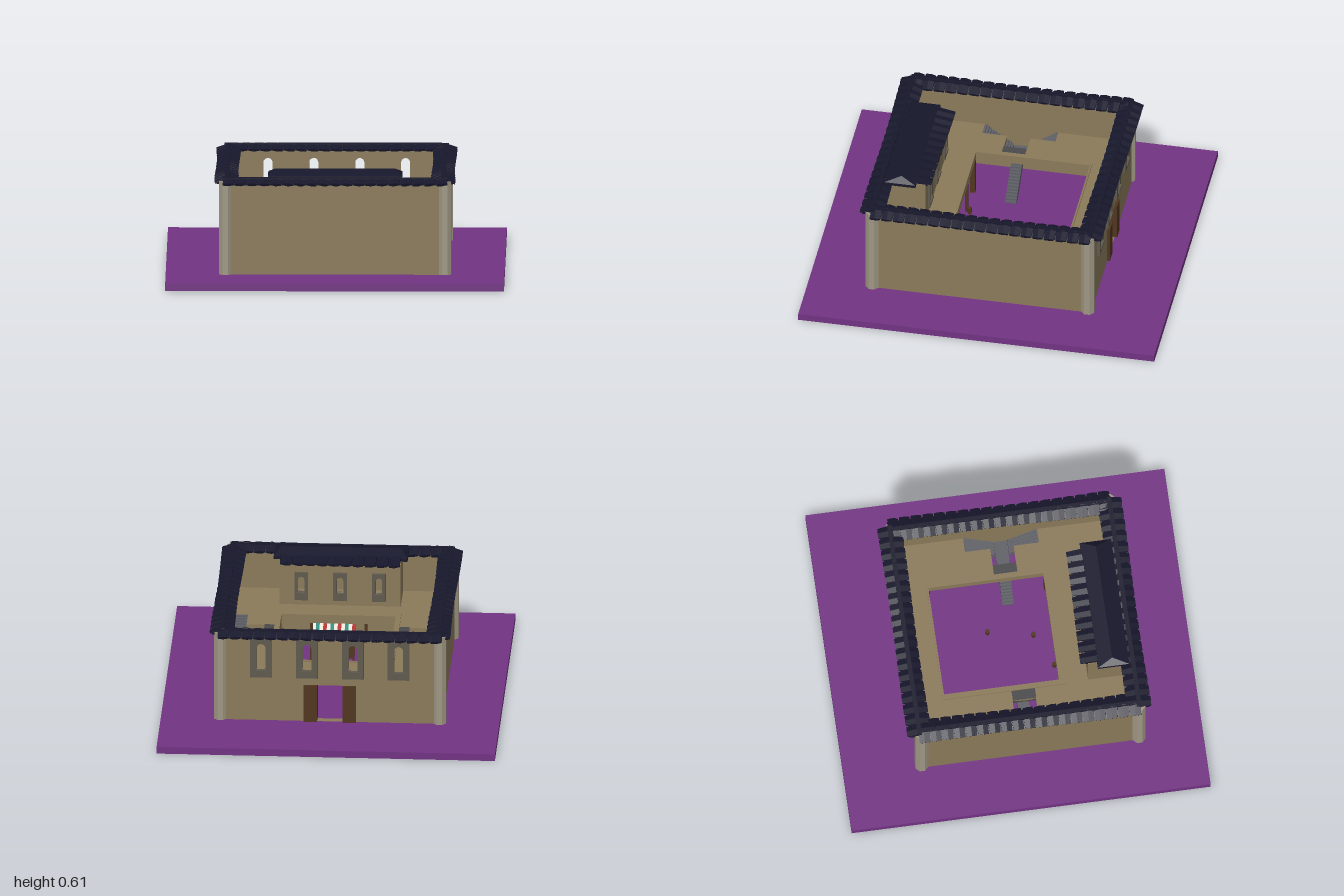
import * as THREE from 'three';
import { ConvexGeometry } from 'three/addons/geometries/ConvexGeometry.js';

const mats = {};
const mat = (c) => (mats[c] ??= new THREE.MeshStandardMaterial({ color: c, flatShading: true, side: THREE.DoubleSide }));
const GROUND = 0x723383, WALL = 0x8b7a5a, POST = 0x9f9784, TILE = 0x17172c;
const STONE = 0x5f6066, FRAME = 0x5f5a4e, WOOD = 0x50351f;
const FLOOR = 0.04, GALLERY = 0.32, WALLTOP = 0.555;

function add(parent, name, geo, color) {
  const m = new THREE.Mesh(geo, mat(color));
  m.name = name;
  parent.add(m);
  return m;
}
function box(parent, name, color, x0, x1, y0, y1, z0, z1) {
  const m = add(parent, name, new THREE.BoxGeometry(x1 - x0, y1 - y0, z1 - z0), color);
  m.position.set((x0 + x1) / 2, (y0 + y1) / 2, (z0 + z1) / 2);
  return m;
}
function group(parent, name) {
  const g = new THREE.Group();
  g.name = name;
  parent.add(g);
  return g;
}
function rect(P, x0, x1, y0, y1) {
  const p = new P();
  p.moveTo(x0, y0); p.lineTo(x1, y0); p.lineTo(x1, y1); p.lineTo(x0, y1); p.closePath();
  return p;
}
function arch(x, w, y0, y1) {
  const p = new THREE.Path(), r = w / 2;
  p.moveTo(x - r, y0); p.lineTo(x + r, y0); p.lineTo(x + r, y1 - r);
  p.absarc(x, y1 - r, r, 0, Math.PI, false);
  p.closePath();
  return p;
}
const extrude = (shape, depth) => new THREE.ExtrudeGeometry(shape, { depth, bevelEnabled: false, curveSegments: 5 });

// One overlapping roof tile: a flattened six-sided barrel sloping down along +z
const tileGeo = new THREE.CylinderGeometry(0.038, 0.033, 0.07, 6);
tileGeo.rotateX(-Math.PI / 2).scale(1, 0.28, 1).translate(0, 0, 0.035);

function tileRow(parent, length, slope, drop) {
  const n = Math.round(length / 0.066);
  for (let i = 0; i < n; i++) {
    const t = add(parent, 'roofTile', tileGeo, TILE);
    const wobble = Math.sin(i * 12.9 + length * 7);
    t.position.set(-length / 2 + (i + 0.5) * length / n, -0.002 + wobble * 0.002, 0);
    t.scale.z = slope / 0.07 * (1 + wobble * 0.06);
    t.rotation.set(drop, 0, wobble * 0.12);
  }
}

// Wall coping: ridge along local x, tiles falling to both sides
function coping(parent, name, length, x, z, turn) {
  const g = group(parent, name);
  const s = new THREE.Shape();
  s.moveTo(-0.055, -0.026); s.lineTo(0.055, -0.026); s.lineTo(0, 0.002); s.closePath();
  const core = extrude(s, length);
  core.translate(0, 0, -length / 2).rotateY(Math.PI / 2);
  add(g, 'copingCore', core, TILE);
  box(g, 'ridgeCap', TILE, -length / 2, length / 2, -0.006, 0.009, -0.012, 0.012);
  for (const side of [0, Math.PI]) {
    const r = group(g, 'tileRow');
    r.rotation.y = side;
    tileRow(r, length, 0.066, 0.3);
  }
  g.position.set(x, 0.57, z);
  g.rotation.y = turn;
}

function framedWindow(parent, x, z, w, holeW, y0, y1) {
  const s = rect(THREE.Shape, x - w / 2, x + w / 2, y0, y1);
  s.holes.push(arch(x, holeW, y0 + 0.045, y1 - 0.025));
  add(parent, 'windowFrame', extrude(s, 0.016), FRAME).position.z = z;
  box(parent, 'windowSill', FRAME, x - holeW / 2 - 0.01, x + holeW / 2 + 0.01, y0 + 0.03, y0 + 0.045, z - 0.008, z + 0.03);
}

// T-shaped stair: one flight from the court, then two flights along the wall
function stairs(parent, side) {
  const g = group(parent, side > 0 ? 'leftStairs' : 'rightStairs');
  const landing = 0.2, n = 14;
  for (let i = 0; i < n; i++) {
    const x = 0.26 + (0.2 * i) / n, y = FLOOR + ((landing - FLOOR) * (i + 1)) / n;
    box(g, 'courtStep', STONE, x, x + 0.2 / n, Math.max(FLOOR, y - 0.05), y, 0.005, 0.068);
  }
  box(g, 'landing', STONE, 0.46, 0.585, landing - 0.03, landing, 0, 0.073);
  for (const dir of [-1, 1]) for (let i = 0; i < 12; i++) {
    const z = 0.036 + dir * (0.04 + (0.165 * (i + 0.5)) / 12), y = landing + ((GALLERY - landing) * (i + 1)) / 12;
    box(g, 'wallStep', STONE, 0.5, 0.585, y - 0.04, y, z - 0.007, z + 0.007);
  }
  box(g, 'stairLintel', 0x4a4a4c, 0.345, 0.4, GALLERY - 0.04, GALLERY + 0.004, -0.03, 0.1);
  if (side < 0) g.rotation.y = Math.PI, g.position.z = 0.072;
}

export function createModel() {
  const model = new THREE.Group();
  model.name = 'courtyardHouse';
  box(model, 'groundPlate', GROUND, -0.935, 0.935, 0, FLOOR, -1, 1);

  // Outer walls
  const walls = group(model, 'outerWalls');
  box(walls, 'frontWall', WALL, -0.62, 0.62, FLOOR, WALLTOP, 0.625, 0.665);
  for (const s of [-1, 1])
    box(walls, 'sideWall', WALL, s * 0.6 - 0.02, s * 0.6 + 0.02, FLOOR, WALLTOP, -0.585, 0.665);
  const back = rect(THREE.Shape, -0.62, 0.62, FLOOR, WALLTOP);
  const windowXs = [-0.38, -0.127, 0.127, 0.38];
  back.holes.push(rect(THREE.Path, -0.145, 0.145, FLOOR + 0.001, 0.255));
  for (const x of windowXs) back.holes.push(arch(x, 0.05, 0.345, 0.5));
  add(walls, 'backWall', extrude(back, 0.04), WALL).position.z = -0.585;
  for (const x of windowXs) framedWindow(walls, x, -0.6, 0.12, 0.05, 0.3, 0.525);
  for (const s of [-1, 1])
    box(walls, 'doorLeaf', WOOD, s * 0.108 - 0.037, s * 0.108 + 0.037, FLOOR, 0.255, -0.6, -0.49);

  // Corner posts
  for (const x of [-0.605, 0.605]) for (const z of [-0.565, 0.645]) {
    const p = add(walls, 'cornerPost', new THREE.CylinderGeometry(0.039, 0.039, 0.52, 8), POST);
    p.position.set(x, 0.3, z);
    p.rotation.y = Math.PI / 8;
  }

  // Tiled coping on the walls
  const roof = group(model, 'wallRoof');
  coping(roof, 'frontCoping', 1.24, 0, 0.647, 0);
  coping(roof, 'backCoping', 1.24, 0, -0.577, 0);
  coping(roof, 'leftCoping', 1.24, 0.597, 0.035, Math.PI / 2);
  coping(roof, 'rightCoping', 1.24, -0.597, 0.035, Math.PI / 2);

  // Gallery floor with court opening and stairwells
  const gallery = group(model, 'gallery');
  const floor = rect(THREE.Shape, -0.6, 0.6, -0.57, 0.64);
  floor.holes.push(rect(THREE.Path, -0.315, 0.315, -0.4, 0.24));
  for (const s of [-1, 1]) {
    const well = [[0.4, -0.03], [0.5, -0.03], [0.5, -0.17], [0.585, -0.17], [0.585, 0.24], [0.5, 0.24], [0.5, 0.1], [0.4, 0.1]];
    floor.holes.push(new THREE.Path(well.map(([x, z]) => new THREE.Vector2(s * x, z))));
  }
  const slab = extrude(floor, 0.03);
  slab.rotateX(Math.PI / 2);
  add(gallery, 'galleryFloor', slab, WALL).position.y = GALLERY;
  const lip = rect(THREE.Shape, -0.345, 0.345, -0.41, 0.28);
  lip.holes.push(rect(THREE.Path, -0.315, 0.315, -0.4, 0.24));
  const lipGeo = extrude(lip, 0.05);
  lipGeo.rotateX(Math.PI / 2);
  add(gallery, 'courtRim', lipGeo, WALL).position.y = GALLERY + 0.008;
  for (const z of [-0.405, 0.26]) for (const x of [-0.33, -0.15, 0.15, 0.33]) {
    const r = Math.abs(x) > 0.2 ? 0.014 : 0.008;
    box(gallery, 'galleryPost', WOOD, x - r, x + r, FLOOR, GALLERY - 0.03, z - r, z + r);
  }
  stairs(model, 1);
  stairs(model, -1);

  // Upper room against the front wall
  const room = group(model, 'upperRoom');
  const face = rect(THREE.Shape, -0.335, 0.335, GALLERY, 0.57);
  const roomXs = [-0.215, 0, 0.215];
  for (const x of roomXs) face.holes.push(arch(x, 0.036, 0.395, 0.49));
  add(room, 'roomWall', extrude(face, 0.02), WALL).position.z = 0.4;
  for (const x of roomXs) framedWindow(room, x, 0.388, 0.075, 0.036, 0.35, 0.515);
  for (const s of [-1, 1])
    box(room, 'roomSideWall', WALL, s * 0.325 - 0.01, s * 0.325 + 0.01, GALLERY, 0.57, 0.4, 0.63);
  const hull = [];
  for (const s of [-1, 1]) {
    for (const z of [0.45, 0.625]) for (const y of [0.568, 0.585]) hull.push(new THREE.Vector3(s * 0.37, y, z));
    hull.push(new THREE.Vector3(s * 0.33, 0.612, 0.535));
  }
  add(room, 'roomRoof', new ConvexGeometry(hull), TILE);
  box(room, 'roomEave', TILE, -0.33, 0.33, 0.562, 0.577, 0.39, 0.47);
  const eaveTiles = group(room, 'roomEaveTiles');
  tileRow(eaveTiles, 0.67, 0.092, 0.14);
  eaveTiles.rotation.y = Math.PI;
  eaveTiles.position.set(0, 0.588, 0.455);

  // Market stall under the front gallery
  const stall = group(model, 'marketStall');
  const stripes = [0xb03030, 0xe8e2d4, 0x2f8a80, 0xe8e2d4];
  for (let i = 0; i < 12; i++) {
    const x = -0.09 + i * 0.02;
    const a = box(stall, 'awningStripe', stripes[i % 4], x, x + 0.02, 0.205, 0.211, 0.28, 0.38);
    a.rotation.x = -0.4;
  }
  box(stall, 'counter', WOOD, -0.08, 0.14, FLOOR, 0.115, 0.31, 0.36);
  for (const x of [-0.08, 0.14]) for (const z of [0.29, 0.37])
    box(stall, 'stallPole', WOOD, x - 0.005, x + 0.005, FLOOR, 0.2, z - 0.005, z + 0.005);

  // Small wooden stools in the court
  for (const [x, z] of [[0.11, -0.1], [0.06, 0.15], [-0.13, 0.24]])
    add(model, 'stool', new THREE.CylinderGeometry(0.013, 0.011, 0.04, 8), WOOD).position.set(x, FLOOR + 0.02, z);
  return model;
}
